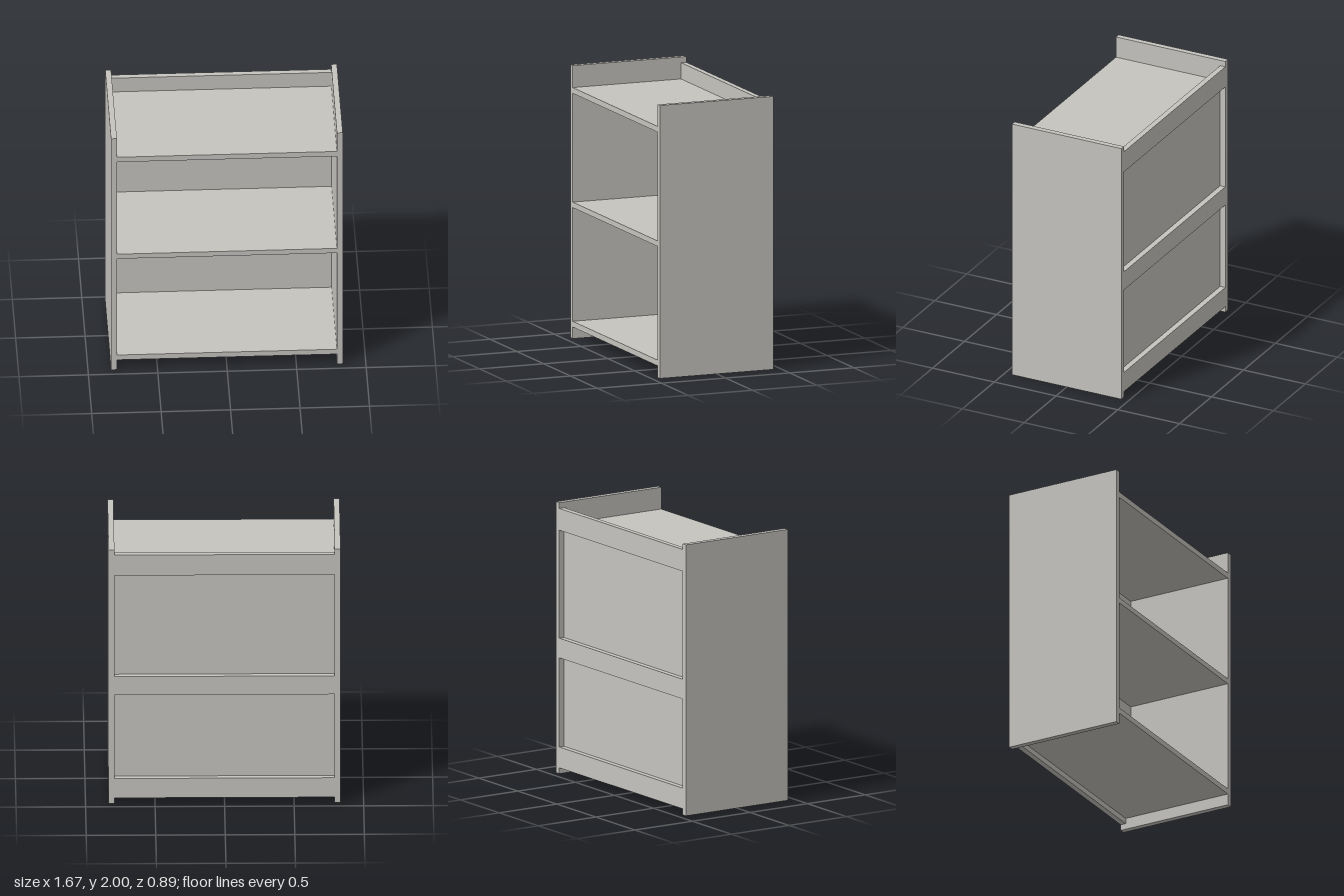
import * as THREE from 'three';

const W = 0.834, T = 0.042, D = 0.443; // half width, board thickness, half depth
const IN = W - T; // half width between the sides

export function createModel() {
  const group = new THREE.Group();
  const paint = new THREE.MeshStandardMaterial({ color: 0xc6c4bf });
  paint.name = 'warm grey paint';

  // Board given by its limits on each axis
  function board(name, [x0, x1], [y0, y1], [z0, z1]) {
    const mesh = new THREE.Mesh(new THREE.BoxGeometry(x1 - x0, y1 - y0, z1 - z0), paint);
    mesh.position.set((x0 + x1) / 2, (y0 + y1) / 2, (z0 + z1) / 2);
    mesh.name = name;
    group.add(mesh);
  }
  const inner = [-IN, IN];
  const railBack = -D, railFront = -D + T, panelFront = -D + 2 * T;

  // Upright sides
  board('leftSide', [IN, W], [0, 2], [-D, D]);
  board('rightSide', [-W, -IN], [0, 2], [-D, D]);

  // Shelves, by the height of their top faces
  board('topShelf', inner, [1.797, 1.839], [railFront, D]);
  board('middleShelf', inner, [0.96, 1.0], [panelFront, D]);
  board('bottomShelf', inner, [0.085, 0.127], [railFront, D]);

  // Rails across the back
  board('topRail', inner, [1.797, 1.958], [railBack, railFront]);
  board('middleRail', inner, [0.855, 1.0], [railBack, railFront]);
  board('bottomRail', inner, [0.044, 0.197], [railBack, railFront]);

  // Back panel set in front of the rails
  board('backPanel', inner, [0.127, 1.797], [railFront, panelFront]);

  return group;
}
